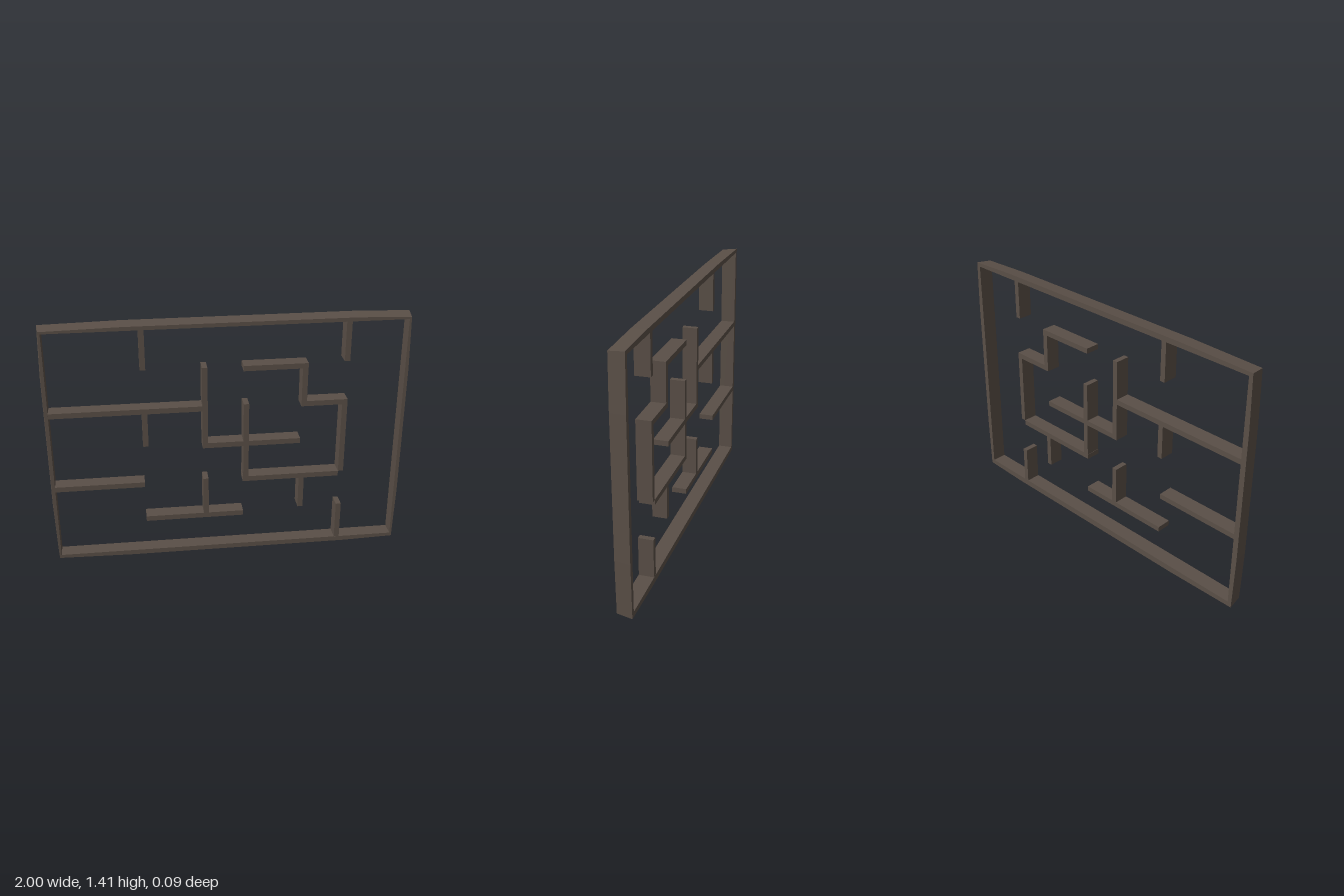
import * as THREE from 'three';

const DEPTH = 0.086, THICK = 0.03, MID_Y = 0.705;

export function createModel() {
  const model = new THREE.Group();
  model.name = 'mazePanel';
  const stone = new THREE.MeshStandardMaterial({ color: 0x5a4f47 });
  stone.name = 'dark brown stone';

  // Outer frame: slightly bowed outline, tapering a little towards the front
  const pts = (list) => list.map(([x, y]) => new THREE.Vector2(x, y));
  const outline = new THREE.Shape(pts([
    [-0.992, -0.696], [-0.57, -0.705], [0.7, -0.705], [0.992, -0.696],
    [1, -0.38], [1, 0.4], [0.992, 0.696],
    [0.7, 0.705], [-0.57, 0.705], [-0.992, 0.696], [-1, 0.4], [-1, -0.38],
  ]));
  outline.holes.push(new THREE.Path(pts([
    [-0.97, -0.668], [-0.97, 0.675], [0.97, 0.675], [0.97, -0.668],
  ])));
  const frameGeo = new THREE.ExtrudeGeometry(outline, { depth: DEPTH, bevelEnabled: false });
  frameGeo.translate(0, 0, -DEPTH / 2);
  const p = frameGeo.attributes.position;
  for (let i = 0; i < p.count; i++) {
    const outer = Math.abs(p.getX(i)) > 0.98 || Math.abs(p.getY(i)) > 0.69;
    if (outer && p.getZ(i) > 0) p.setXY(i, p.getX(i) * 0.989, p.getY(i) * 0.988);
  }
  frameGeo.computeVertexNormals();
  const frame = new THREE.Mesh(frameGeo, stone);
  frame.name = 'outerFrame';
  frame.position.y = MID_Y;
  model.add(frame);

  // Inner walls
  const walls = new THREE.Group();
  walls.name = 'innerWalls';
  model.add(walls);
  const addWall = (name, x0, x1, y0, y1) => {
    const wall = new THREE.Mesh(new THREE.BoxGeometry(x1 - x0, y1 - y0, DEPTH - 0.002), stone);
    wall.position.set((x0 + x1) / 2, (y0 + y1) / 2, 0);
    wall.name = name;
    walls.add(wall);
  };

  // Horizontal walls: y, x start, x end
  [
    [1.14, 0.08, 0.433], [0.916, 0.402, 0.66], [0.916, -0.98, -0.115],
    [0.691, -0.145, 0.402], [0.467, 0.08, 0.63], [0.467, -0.98, -0.473],
    [0.244, -0.473, 0.083],
  ].forEach(([y, a, b], i) => addWall(`horizontalWall${i + 1}`, a, b, y - THICK / 2, y + THICK / 2));

  // Vertical walls: x, y start, y end
  [
    [-0.458, 1.157, 1.39], [0.645, 1.157, 1.39], [-0.13, 0.676, 1.155],
    [0.417, 0.902, 1.155], [0.645, 0.482, 0.931], [-0.458, 0.706, 0.92],
    [0.097, 0.452, 0.931], [0.417, 0.262, 0.47], [-0.13, 0.245, 0.482],
    [0.645, 0.03, 0.262],
  ].forEach(([x, a, b], i) => addWall(`verticalWall${i + 1}`, x - THICK / 2, x + THICK / 2, a, b));

  return model;
}
